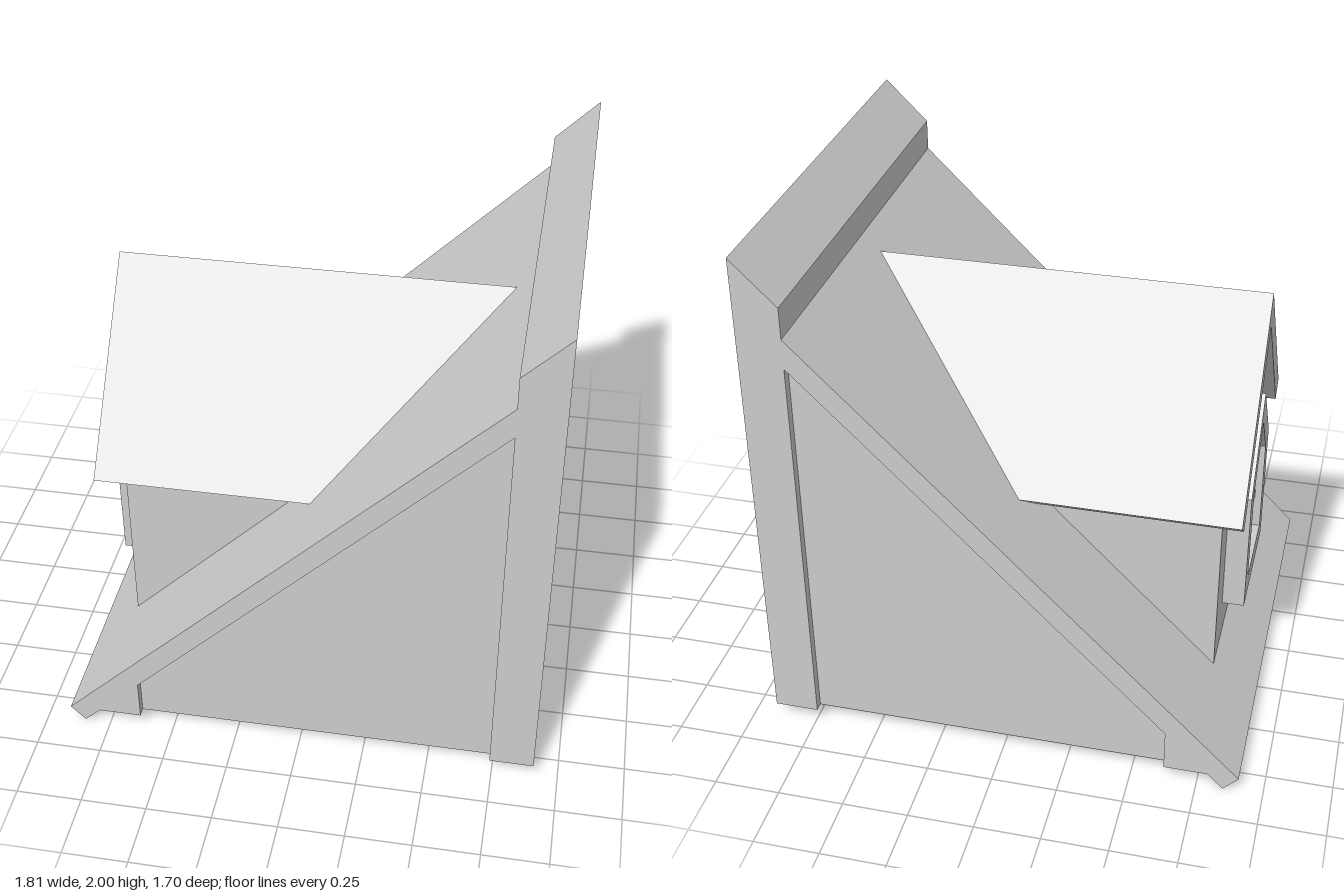
import * as THREE from 'three';

const polygon = (pts) => new THREE.Shape(pts.map(([a, b]) => new THREE.Vector2(a, b)));

// Mirrors the right half of an outline (side, height) to close it across the centre line
const mirrored = (half) => polygon([
  ...half,
  ...half.filter(([s]) => s > 0).reverse().map(([s, y]) => [-s, y]),
]);

export function createModel() {
  const model = new THREE.Group();
  const plaster = new THREE.MeshStandardMaterial({ color: 0xcccccc });
  plaster.name = 'pale grey';

  const add = (parent, name, geometry) => {
    const mesh = new THREE.Mesh(geometry, plaster);
    mesh.name = name;
    parent.add(mesh);
    return mesh;
  };
  const extrude = (shape, depth) =>
    new THREE.ExtrudeGeometry(shape, { depth, bevelEnabled: false });
  // Slab lying across the house, from z0 to z1
  const alongZ = (shape, z0, z1) => extrude(shape, z1 - z0).translate(0, 0, z0);
  // Slab drawn as (side, height) and pushed from x0 to x1
  const alongX = (shape, x0, x1) =>
    extrude(shape, x1 - x0).rotateY(Math.PI / 2).translate(x0, 0, 0);

  // Main sloped block with recessed side panels
  const house = new THREE.Group();
  house.name = 'mainRoofBlock';
  model.add(house);
  const eave = [[-0.907, 0.065], [-0.85, 0.005], [-0.79, 0.065]];
  const back = [[0.907, 0.065], [0.907, 2], [0.74, 1.833], [0.74, 1.712]];
  const halfDepth = 0.85, panel = 0.815;
  add(house, 'roofCore', alongZ(polygon([...eave, ...back]), -panel, panel));
  const trim = polygon([
    ...eave, [-0.625, 0.065], [-0.625, 0.23], [0.74, 1.597], [0.74, 0.065], ...back,
  ]);
  add(house, 'leftSideTrim', alongZ(trim, panel, halfDepth));
  add(house, 'rightSideTrim', alongZ(trim, -halfDepth, -panel));

  // Dormer
  const dormer = new THREE.Group();
  dormer.name = 'dormer';
  model.add(dormer);
  const slope = 1.2385;
  const roofBase = 1.507; // underside of the ridge
  const wallHalf = 0.42;
  const gable = () => mirrored([
    [0, 0.15], [wallHalf, 0.15], [wallHalf, roofBase - wallHalf * slope], [0, roofBase],
  ]);
  // Window outline: straight sides with a pointed top
  const arch = (half, bottom, apex) => mirrored([
    [0, bottom], [half, bottom], [half, apex - half * slope], [0, apex],
  ]);
  const opening = () => arch(0.175, 0.49, 1.09);

  const frontWall = gable();
  frontWall.holes.push(opening());
  add(dormer, 'dormerFrontWall', alongX(frontWall, -0.74, -0.65));
  add(dormer, 'dormerBody', alongX(gable(), -0.65, 0.6));

  const chevron = polygon([
    [0, 1.645], [-0.545, 0.97], [-0.477, 0.915], [0, roofBase], [0.477, 0.915], [0.545, 0.97],
  ]);
  add(dormer, 'dormerRoof', alongX(chevron, -0.825, 0.72));

  // Projecting window surround
  const surround = arch(0.255, 0.405, 1.22);
  surround.holes.push(opening());
  add(dormer, 'windowFrame', alongX(surround, -0.825, -0.74));

  // Glazing bars
  const bar = (name, w, h, y, depth) =>
    add(dormer, name, new THREE.BoxGeometry(depth, h, w)).position.set(-0.78, y, 0);
  bar('verticalBar', 0.04, 0.58, 0.78, 0.04);
  for (const y of [0.645, 0.86]) bar('horizontalBar', 0.35, 0.04, y, 0.036);

  return model;
}
